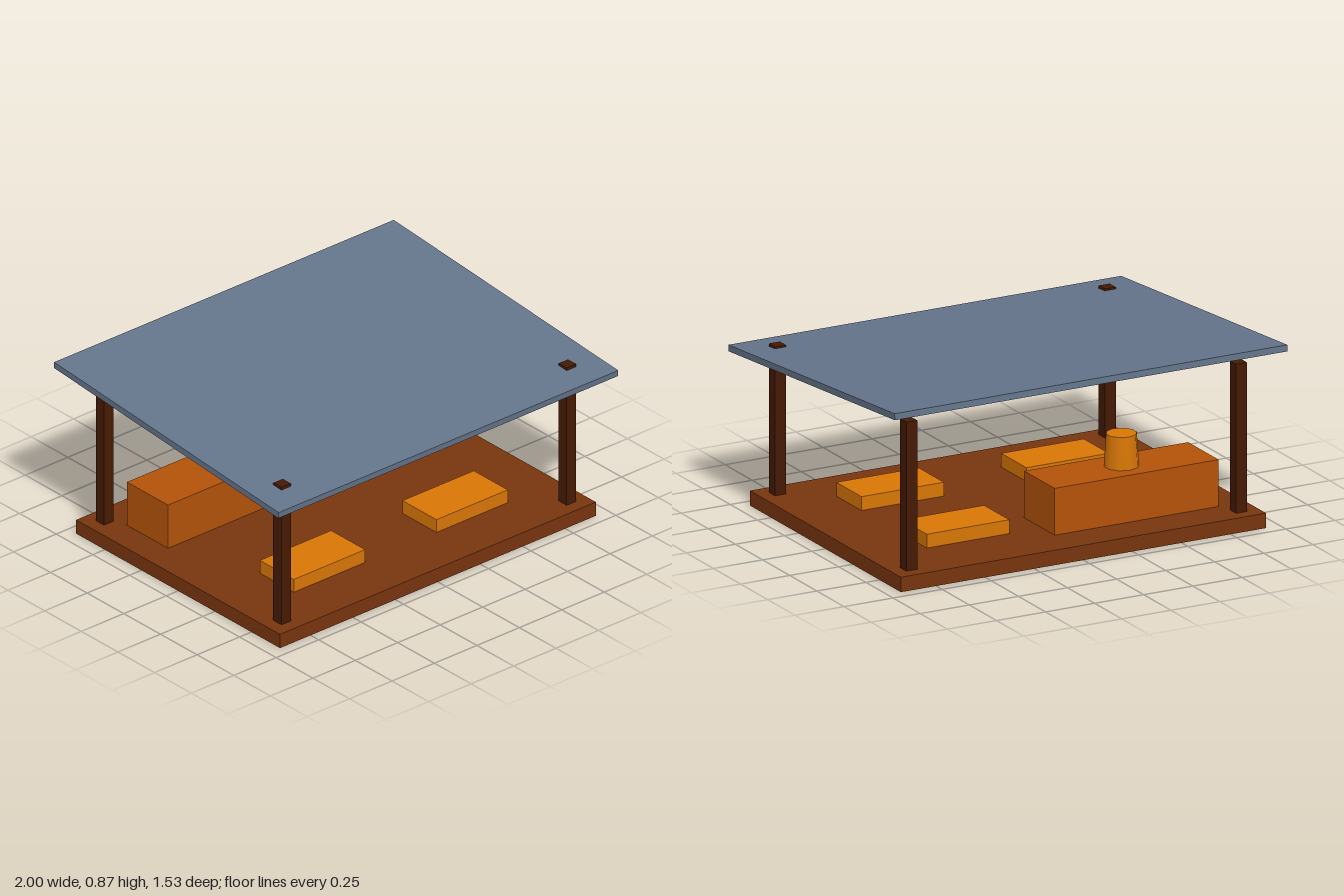
import * as THREE from 'three';

const material = (color) => new THREE.MeshStandardMaterial({ color });

export function createModel() {
  const model = new THREE.Group();
  const darkWood = material(0x451a03);
  const floorWood = material(0x78350f);
  const counterWood = material(0xb45309);
  const amber = material(0xd97706);
  const slate = material(0x64748b);

  const add = (name, geometry, mat, x, y, z) => {
    const mesh = new THREE.Mesh(geometry, mat);
    mesh.name = name;
    mesh.position.set(x, y, z);
    model.add(mesh);
    return mesh;
  };
  // Box resting on height y
  const box = (name, mat, w, h, d, x, y, z) =>
    add(name, new THREE.BoxGeometry(w, h, d), mat, x, y + h / 2, z);

  const floorTop = 0.07;
  box('platform', floorWood, 1.86, floorTop, 1.39, 0, 0, 0);

  // Corner posts, the front pair poking through the roof
  for (const x of [-0.84, 0.84]) {
    for (const z of [-0.605, 0.605]) {
      box(z > 0 ? 'frontPost' : 'backPost', darkWood, 0.056, 0.7, 0.056, x, floorTop, z);
    }
  }

  // Roof slab sloping down to the front
  const roof = add('roof', new THREE.BoxGeometry(2, 0.03, 1.536), slate, 0, 0.793, 0);
  roof.rotation.x = 0.081;

  // Counter with a tapered pot on top
  box('counter', counterWood, 0.835, 0.22, 0.28, -0.373, floorTop, -0.37);
  add('pot', new THREE.CylinderGeometry(0.07, 0.08, 0.153, 10), amber, -0.373, 0.3665, -0.37);

  // Low cushions on the floor
  for (const [x, z] of [[-0.42, 0.326], [0.42, 0.326], [0.42, -0.276]]) {
    box('cushion', amber, 0.42, 0.065, 0.232, x, floorTop, z);
  }

  return model;
}
